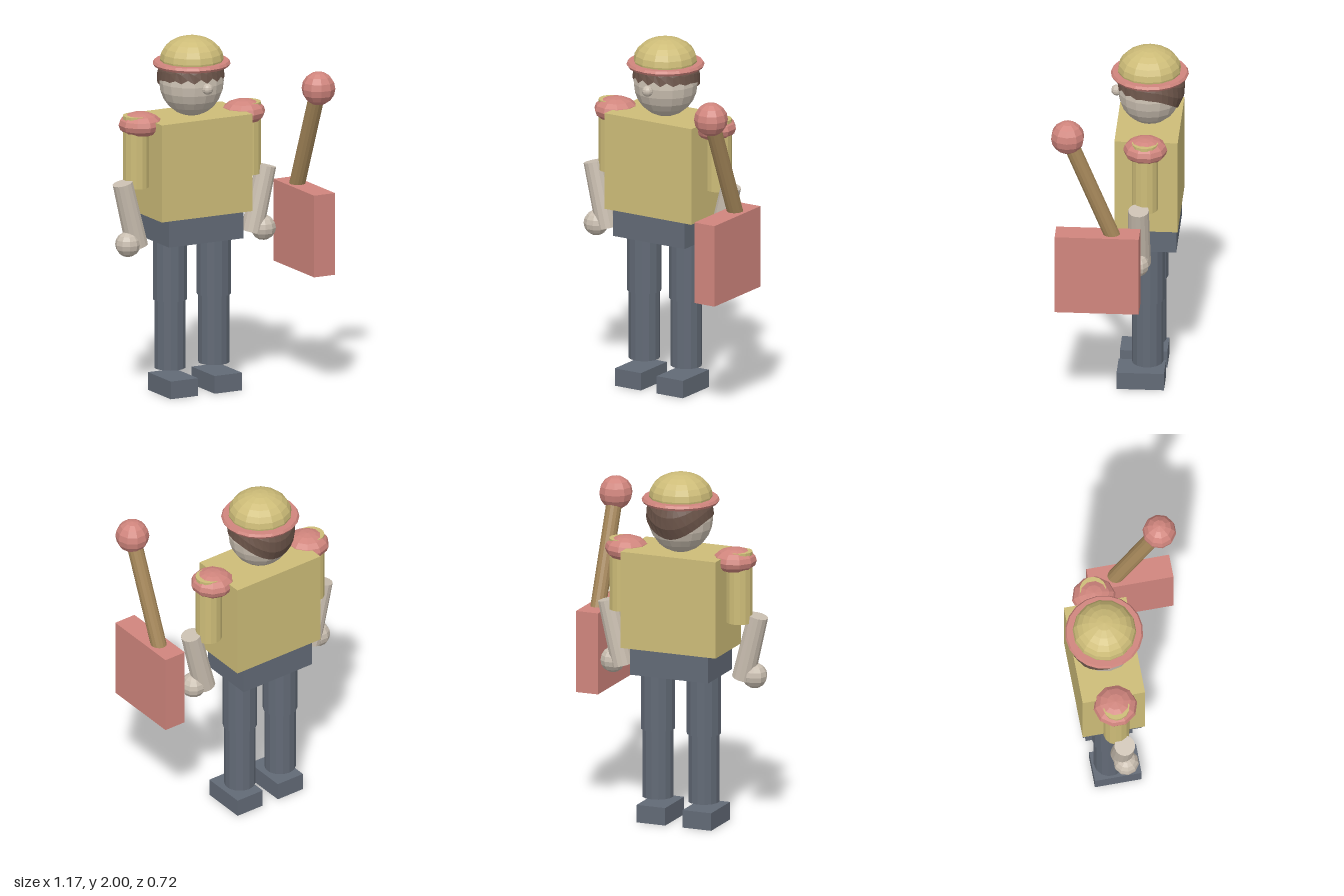
import * as THREE from 'three';

const mat = (name, color, extra = {}) => {
  const m = new THREE.MeshStandardMaterial({ color, flatShading: true, ...extra });
  m.name = name;
  return m;
};

export function createModel() {
  const yellow = mat('mustard', 0xcdbc78);
  const red = mat('coral', 0xd0857d);
  const slate = mat('slate', 0x626a76);
  const skin = mat('skin', 0xc9beb0);
  const hairBrown = mat('hair brown', 0x6b5449, { side: THREE.DoubleSide });
  const wood = mat('wood', 0xa48659);

  const root = new THREE.Group();
  root.name = 'figure';
  const CX = -0.08, CZ = -0.142; // body axis

  const add = (name, geo, material, x, y, z) => {
    const mesh = new THREE.Mesh(geo, material);
    mesh.name = name;
    mesh.position.set(x, y, z);
    root.add(mesh);
    return mesh;
  };
  const box = (name, m, w, h, d, x, y, z) => add(name, new THREE.BoxGeometry(w, h, d), m, x, y, z);
  const ball = (name, m, r, x, y, z, ws = 10, hs = 8) => add(name, new THREE.SphereGeometry(r, ws, hs), m, x, y, z);
  // Cylinder between a bottom point and a top point
  const rod = (name, m, a, b, rBottom, rTop = rBottom, sides = 14) => {
    const p = new THREE.Vector3(...a), q = new THREE.Vector3(...b);
    const dir = q.clone().sub(p);
    const mid = p.clone().add(q).multiplyScalar(0.5);
    const mesh = add(name, new THREE.CylinderGeometry(rTop, rBottom, dir.length(), sides), m, mid.x, mid.y, mid.z);
    mesh.quaternion.setFromUnitVectors(new THREE.Vector3(0, 1, 0), dir.normalize());
    return mesh;
  };

  // Trunk
  box('torso', yellow, 0.57, 0.55, 0.35, CX, 1.285, -0.143);
  box('hips', slate, 0.47, 0.15, 0.33, CX, 0.935, CZ);

  // Limbs, mirrored about the body axis
  for (const [side, s] of [['left', 1], ['right', -1]]) {
    const X = (o) => CX + s * o;
    rod(side + 'Thigh', slate, [X(0.138), 0.527, CZ], [X(0.138), 0.87, CZ], 0.096);
    rod(side + 'Shin', slate, [X(0.138), 0.138, CZ], [X(0.138), 0.53, CZ], 0.087);
    box(side + 'Foot', slate, 0.172, 0.1, 0.262, X(0.138), 0.05, -0.107);

    rod(side + 'UpperArm', yellow, [X(0.352), 1.185, CZ], [X(0.352), 1.59, CZ], 0.073);
    const pad = ball(side + 'ShoulderPad', red, 0.122, X(0.325), 1.536, CZ);
    pad.scale.y = 0.575;
    pad.rotation.y = Math.PI / 2;
    rod(side + 'Forearm', skin, [X(0.362), 0.857, -0.113], [X(0.452), 1.222, -0.113], 0.063, 0.057);
    ball(side + 'Hand', skin, 0.071, X(0.426), 0.876, -0.1);
  }

  // Head
  const head = ball('head', skin, 0.18, CX, 1.742, -0.145, 16, 12);
  head.scale.set(1, 1.06, 0.975);
  ball('nose', skin, 0.031, CX, 1.735, 0.038);

  // Hair cap: rim hangs low at the back and is ragged at the front
  const cols = 32, rows = 6, R = 0.188;
  const hair = new THREE.SphereGeometry(R, cols, rows, 0, Math.PI * 2, 0, Math.PI / 2);
  const hp = hair.attributes.position;
  for (let i = 0; i < hp.count; i++) {
    const col = i % (cols + 1), row = Math.floor(i / (cols + 1));
    const phi = (col / cols) * Math.PI * 2;
    const front = Math.sin(phi);
    const drop = front < 0 ? 0.62 * front * front : col % 2 ? -0.13 * front : 0;
    const theta = (row / rows) * (Math.PI / 2 + drop);
    hp.setXYZ(i, -R * Math.cos(phi) * Math.sin(theta), R * Math.cos(theta), R * front * Math.sin(theta));
  }
  add('hair', hair, hairBrown, CX, 1.765, -0.153);

  // Hat
  const rim = [[0, -0.014], [0.207, -0.014], [0.216, 0], [0.207, 0.014], [0, 0.014]];
  add('hatBrim', new THREE.LatheGeometry(rim.map(([x, y]) => new THREE.Vector2(x, y)), 20), red, CX, 1.848, -0.145);
  const dome = ball('hatDome', yellow, 0.176, CX, 1.872, -0.143, 14, 12);
  dome.scale.y = 0.725;

  // Mallet standing beside the figure
  box('malletHead', red, 0.132, 0.463, 0.465, 0.491, 0.904, 0.106);
  rod('malletHandle', wood, [0.49, 1.04, -0.011], [0.49, 1.723, 0.271], 0.044);
  ball('malletKnob', red, 0.094, 0.49, 1.723, 0.271);

  return root;
}
